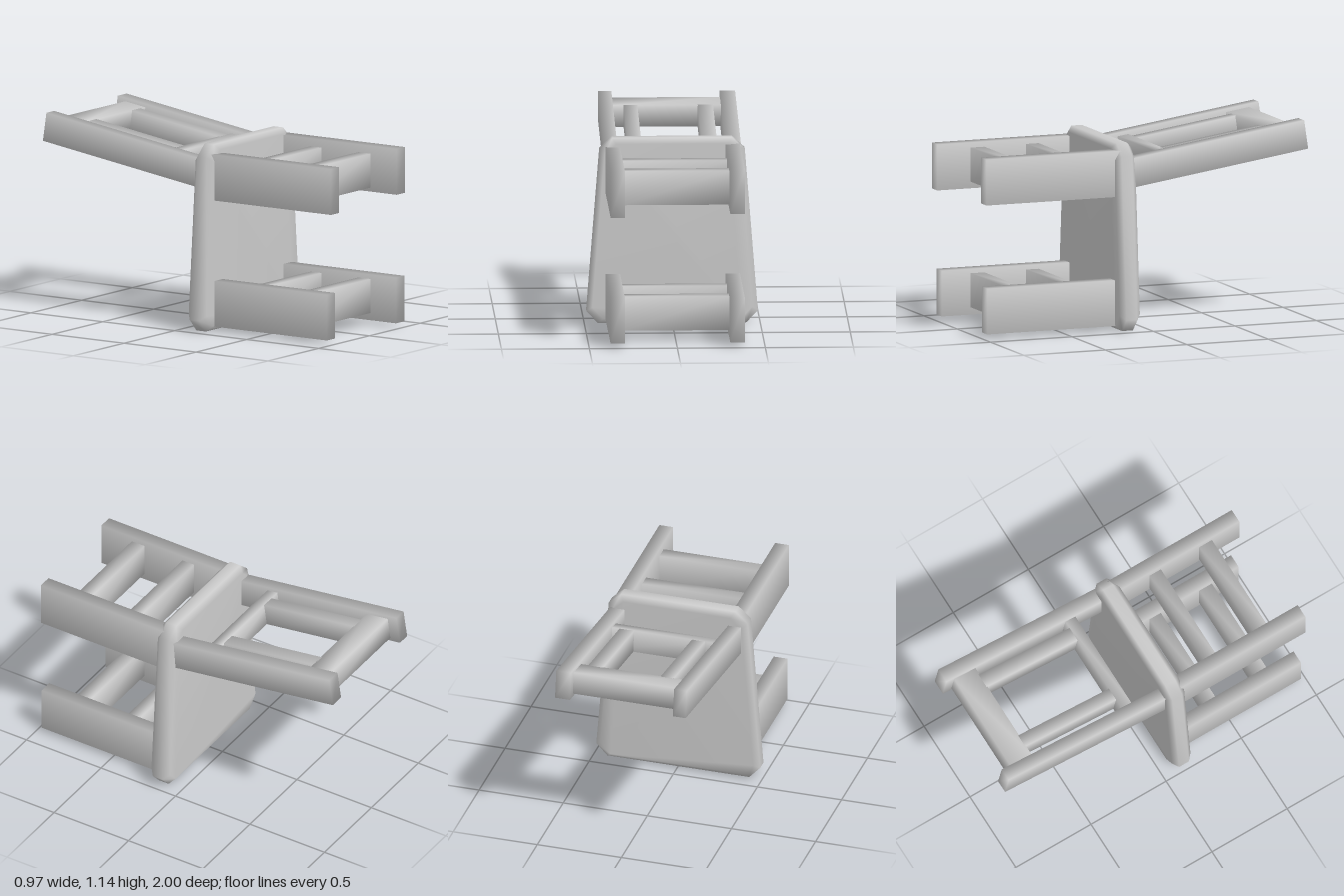
import * as THREE from 'three';
import { mergeVertices } from 'three/addons/utils/BufferGeometryUtils.js';

const material = new THREE.MeshStandardMaterial({ color: 0xcccccc });

// Box given by its ranges, with normals shared across the corners
function softBox(parent, name, [x0, x1], [y0, y1], [z0, z1]) {
  let geo = new THREE.BoxGeometry(x1 - x0, y1 - y0, z1 - z0);
  geo.deleteAttribute('normal');
  geo.deleteAttribute('uv');
  geo = mergeVertices(geo);
  geo.computeVertexNormals();
  const mesh = new THREE.Mesh(geo, material);
  mesh.name = name;
  mesh.position.set((x0 + x1) / 2, (y0 + y1) / 2, (z0 + z1) / 2);
  parent.add(mesh);
}

// Tapered seat slab with cut corners and bevelled rims, built from stacked loops
function seatGeometry() {
  const half = [[0.422, 0], [0.487, 0.07], [0.413, 1.0], [0.34, 1.067]];
  const outline = [...half, ...half.map(([x, y]) => [-x, y]).reverse()];
  const n = outline.length, pos = [], idx = [];
  const loops = [[0.065, 0.03], [0.095, 0], [0.16, 0], [0.19, 0.03]]; // z, inset
  for (const [z, inset] of loops) {
    for (const [x, y] of outline) {
      pos.push(x * (1 - inset / 0.45), 0.53 + (y - 0.53) * (1 - inset / 0.53), z);
    }
  }
  for (let k = 0; k < loops.length - 1; k++) {
    for (let i = 0; i < n; i++) {
      const a = k * n + i, b = k * n + (i + 1) % n;
      idx.push(a, b, b + n, a, b + n, a + n);
    }
  }
  const front = (loops.length - 1) * n;
  for (let i = 1; i < n - 1; i++) {
    idx.push(0, i + 1, i, front, front + i, front + i + 1);
  }
  const geo = new THREE.BufferGeometry();
  geo.setAttribute('position', new THREE.Float32BufferAttribute(pos, 3));
  geo.setIndex(idx);
  geo.computeVertexNormals();
  return geo;
}

export function createModel() {
  const model = new THREE.Group();
  model.name = 'tippedChair';

  const seat = new THREE.Mesh(seatGeometry(), material);
  seat.name = 'seat';
  model.add(seat);

  // Two pairs of legs, each joined by two rungs
  const right = [-0.379, -0.297], left = [0.302, 0.384];
  softBox(model, 'upperRightLeg', right, [0.752, 1.016], [0.15, 1.0]);
  softBox(model, 'upperLeftLeg', left, [0.767, 1.031], [0.15, 0.977]);
  softBox(model, 'lowerRightLeg', right, [0.025, 0.288], [0.15, 0.972]);
  softBox(model, 'lowerLeftLeg', left, [0.025, 0.288], [0.15, 0.972]);
  for (const y of [[0.067, 0.263], [0.79, 0.986]]) {
    for (const z of [[0.378, 0.455], [0.71, 0.795]]) {
      softBox(model, 'legRung', [-0.305, 0.31], y, z);
    }
  }

  // Backrest: tilted frame whose local z runs from the free end to the seat
  const back = new THREE.Group();
  back.name = 'backrest';
  back.position.set(0, 1.0575, -0.9875);
  back.rotation.x = Math.atan(0.155 / 1.055);
  model.add(back);
  softBox(back, 'rightPost', [-0.382, -0.306], [-0.083, 0.083], [0, 1.11]);
  softBox(back, 'leftPost', [0.309, 0.397], [-0.083, 0.083], [0.008, 1.11]);
  const depth = [-0.064, 0.064];
  softBox(back, 'topRail', [-0.31, 0.315], depth, [0.0625, 0.2055]);
  softBox(back, 'lowerRail', [-0.31, 0.315], depth, [0.811, 0.878]);
  softBox(back, 'rightSpindle', [-0.243, -0.165], depth, [0.2, 0.816]);
  softBox(back, 'leftSpindle', [0.178, 0.265], depth, [0.2, 0.816]);

  return model;
}
